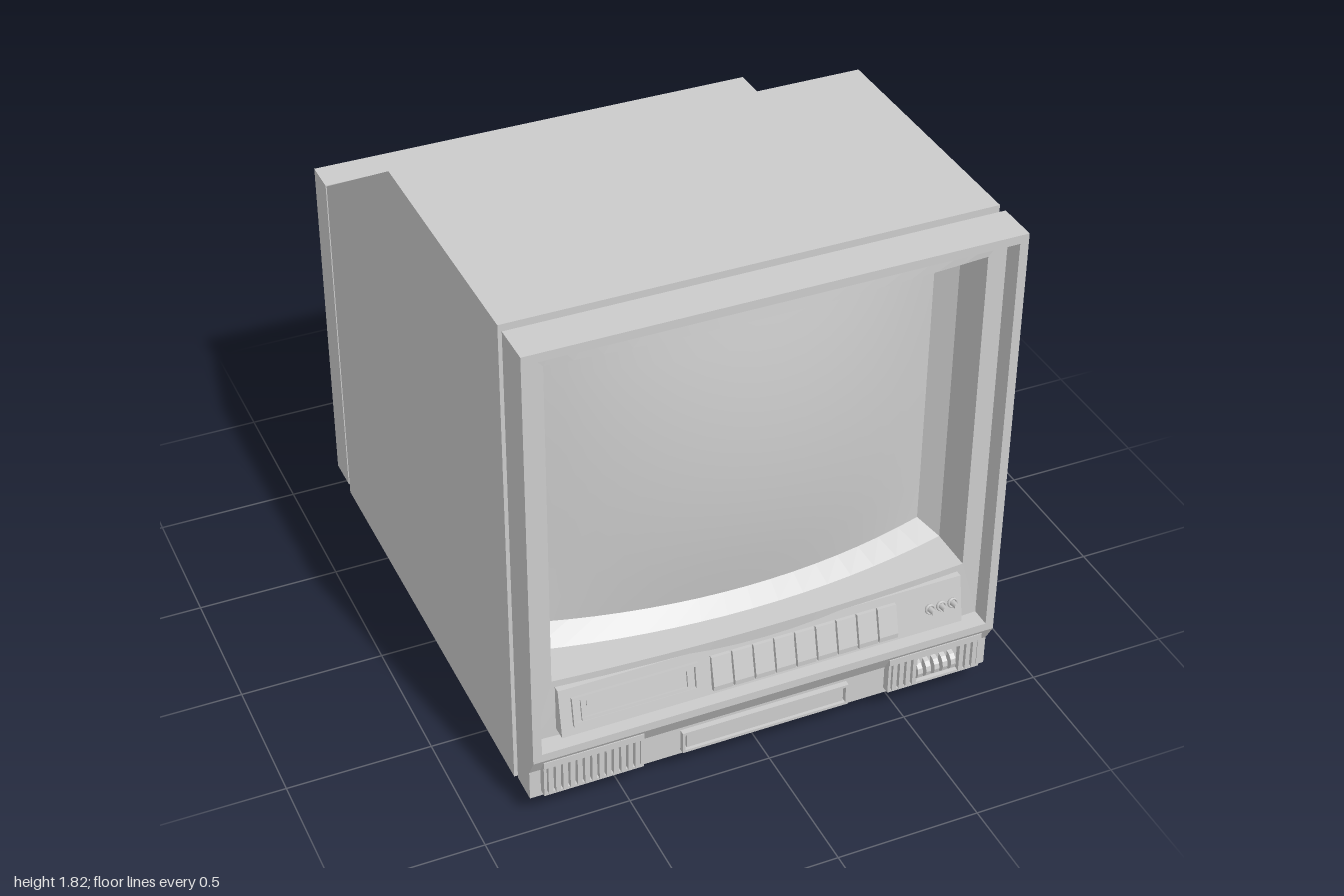
import * as THREE from 'three';

const mat = new THREE.MeshStandardMaterial({ color: 0xcccccc, flatShading: true });
const smooth = new THREE.MeshStandardMaterial({ color: 0xcccccc });

function add(parent, name, geo, x = 0, y = 0, z = 0, m = mat) {
  const mesh = new THREE.Mesh(geo, m);
  mesh.name = name;
  mesh.position.set(x, y, z);
  parent.add(mesh);
  return mesh;
}

// Box given by its min and max on each axis
function box(parent, name, x0, x1, y0, y1, z0, z1) {
  return add(parent, name, new THREE.BoxGeometry(x1 - x0, y1 - y0, z1 - z0),
    (x0 + x1) / 2, (y0 + y1) / 2, (z0 + z1) / 2);
}

// Side profile of [z, y] points swept across x
function sweep(parent, name, pts, x0, x1) {
  const shape = new THREE.Shape(pts.map(([z, y]) => new THREE.Vector2(-z, y)));
  const geo = new THREE.ExtrudeGeometry(shape, { depth: x1 - x0, bevelEnabled: false });
  return add(parent, name, geo.rotateY(Math.PI / 2), x0);
}

// Rectangular border of the given thickness, extruded from z0 to z1
function border(parent, name, x0, x1, y0, y1, t, z0, z1) {
  const rect = (C, d) => new C([[x0 + d, y0 + d], [x1 - d, y0 + d], [x1 - d, y1 - d], [x0 + d, y1 - d]]
    .map(p => new THREE.Vector2(...p)));
  const shape = rect(THREE.Shape, 0);
  shape.holes.push(rect(THREE.Path, t));
  return add(parent, name, new THREE.ExtrudeGeometry(shape, { depth: z1 - z0, bevelEnabled: false }), 0, 0, z0);
}

// Skin between closed loops with equal point counts
function loft(loops, caps) {
  const n = loops[0].length, idx = [];
  for (let i = 0; i < loops.length - 1; i++) {
    for (let j = 0; j < n; j++) {
      const k = (j + 1) % n, a = i * n + j, b = i * n + k, c = b + n, d = a + n;
      idx.push(a, b, c, a, c, d);
    }
  }
  if (caps) {
    const e = (loops.length - 1) * n;
    for (let j = 1; j < n - 1; j++) idx.push(0, j + 1, j, e, e + j, e + j + 1);
  }
  const geo = new THREE.BufferGeometry();
  geo.setAttribute('position', new THREE.Float32BufferAttribute(loops.flat(2), 3));
  geo.setIndex(idx);
  const flat = geo.toNonIndexed();
  flat.computeVertexNormals();
  return flat;
}

// Rectangle loop whose horizontal edges bulge forward in the middle
function bulgedLoop(w, y0, y1, z, bulge, n = 16) {
  const corners = [[-w, y0], [w, y0], [w, y1], [-w, y1]], pts = [];
  corners.forEach(([ax, ay], s) => {
    const [bx, by] = corners[(s + 1) % 4];
    for (let i = 0; i < n; i++) {
      const x = ax + (bx - ax) * i / n, y = ay + (by - ay) * i / n;
      pts.push([x, y, z + bulge * (1 - (x / w) ** 2)]);
    }
  });
  return pts;
}

function buildScreen(parent) {
  add(parent, 'screenBezel', loft([
    bulgedLoop(0.795, 0.30, 1.79, 0.92, 0.02),
    bulgedLoop(0.73, 0.525, 1.72, 0.92, 0.03),
    bulgedLoop(0.73, 0.525, 1.72, 0.76, 0.09),
    bulgedLoop(0.675, 0.58, 1.67, 0.70, 0.10),
  ]));
  const glass = new THREE.PlaneGeometry(1.35, 1.09, 16, 8);
  const p = glass.attributes.position;
  for (let i = 0; i < p.count; i++) {
    const u = 1 - (p.getX(i) / 0.675) ** 2, v = 1 - (p.getY(i) / 0.545) ** 2;
    p.setZ(i, 0.1 * u + 0.05 * u * v);
  }
  glass.computeVertexNormals();
  add(parent, 'screenGlass', glass, 0, 1.125, 0.70, smooth);
}

function buildControls(parent) {
  sweep(parent, 'controlPanel', [[0.88, 0.33], [0.975, 0.33], [0.945, 0.5], [0.88, 0.5]], -0.72, 0.71);
  // Everything below lies on the tilted panel face
  const face = new THREE.Group();
  face.name = 'controls';
  face.position.set(0, 0.415, 0.96);
  face.rotation.x = -Math.atan2(0.03, 0.17);
  parent.add(face);
  border(face, 'hatchFrame', -0.68, -0.245, -0.052, 0.052, 0.012, -0.01, 0.012);
  border(face, 'hatchRim', -0.65, -0.275, -0.04, 0.04, 0.01, -0.01, 0.008);
  box(face, 'hatchHandle', -0.63, -0.3, 0.01, 0.03, -0.01, 0.006);
  for (let i = 0; i < 9; i++) {
    const x = -0.2 + i * 0.0745;
    const key = sweep(face, 'button', [[-0.01, -0.068], [0.016, -0.068], [0.02, -0.05], [0.012, 0.055], [-0.01, 0.058]], x, x + 0.068);
    key.position.y = 0;
  }
  for (const x of [0.592, 0.634, 0.676]) {
    const ring = add(face, 'knobRing', new THREE.TorusGeometry(0.015, 0.004, 8, 20), x, -0.005, 0.004, smooth);
    ring.scale.z = 1.5;
    const knob = add(face, 'knob', new THREE.CylinderGeometry(0.009, 0.011, 0.04, 16), x, -0.005, 0.015, smooth);
    knob.rotation.x = Math.PI / 2;
  }
}

function buildLowerFront(parent) {
  sweep(parent, 'lowerFront', [[0.845, 0.09], [0.95, 0.09], [0.95, 0.2], [0.99, 0.27], [0.99, 0.3], [0.845, 0.3]], -0.825, 0.825);
  for (const s of [-1, 1]) {
    const x0 = s < 0 ? -0.787 : 0.442, x1 = x0 + 0.345;
    const grille = new THREE.Group();
    grille.name = s < 0 ? 'rightGrille' : 'leftGrille';
    parent.add(grille);
    box(grille, 'grilleBack', x0, x1, 0.115, 0.255, 0.94, 0.965);
    border(grille, 'grilleFrame', x0, x1, 0.112, 0.258, 0.01, 0.94, 0.98);
    box(grille, 'grilleTop', x0, x1, 0.23, 0.255, 0.94, 0.985);
    for (let i = 0; i < 13; i++) {
      const x = x0 + 0.022 + i * 0.025;
      if (s > 0 && i > 3 && i < 10) continue;
      box(grille, 'grilleSlat', x - 0.008, x + 0.008, 0.12, 0.235, 0.95, 0.985);
    }
  }
  // Thumbwheels inside the left grille
  for (let i = 0; i < 5; i++) {
    const wheel = add(parent, 'thumbwheel', new THREE.CylinderGeometry(0.036, 0.036, 0.018, 12), 0.553 + i * 0.031, 0.172, 0.964);
    wheel.rotation.z = Math.PI / 2;
  }
  border(parent, 'flapFrame', -0.3, 0.3, 0.107, 0.19, 0.01, 0.94, 0.97);
  box(parent, 'flap', -0.283, 0.283, 0.122, 0.18, 0.94, 0.964);
}

function buildBack(parent) {
  box(parent, 'backNeck', -0.8, 0.8, 0.09, 1.345, -0.88, -0.84);
  // Back panel with a recess that tapers out at both ends
  const stations = [[-0.82, 0], [-0.74, 0], [-0.35, 0.09], [0.35, 0.09], [0.74, 0], [0.82, 0]];
  add(parent, 'backPanel', loft(stations.map(([x, d]) => [
    [x, 0.08, -0.875], [x, 0.08, -1], [x, 0.14, -1], [x, 0.14 + d * 0.65, -1 + d],
    [x, 0.405, -1 + d], [x, 0.405, -1], [x, 1.36, -1], [x, 1.36, -0.875],
  ]), true));

  // Label plate on the sloping end of the recess
  const plate = new THREE.Group();
  plate.name = 'recessPlate';
  plate.position.set(0.55, 0.3, -0.956);
  plate.rotation.y = Math.PI + Math.atan2(0.09, 0.39);
  parent.add(plate);
  border(plate, 'plateRim', -0.15, 0.15, -0.075, 0.075, 0.015, -0.005, 0.008);

  // Sockets
  for (let c = 0; c < 2; c++) {
    for (let r = 0; r < 3; r++) {
      const jack = add(parent, 'jack', new THREE.CylinderGeometry(0.013, 0.013, 0.03, 14), 0.24 - c * 0.045, 0.375 - r * 0.037, -0.915, smooth);
      jack.rotation.x = Math.PI / 2;
    }
  }
  for (let i = 0; i < 4; i++) {
    const x = 0.05 - i * 0.085;
    border(parent, 'socket', x - 0.034, x + 0.034, 0.315, 0.375, 0.012, -0.93, -0.905);
  }
  // Oblong connector with a raised rim
  const connector = add(parent, 'connectorRim', new THREE.TorusGeometry(0.04, 0.01, 8, 24), -0.02, 0.255, -0.915, smooth);
  connector.scale.x = 4;
  box(parent, 'connectorCore', -0.12, 0.08, 0.242, 0.268, -0.93, -0.905);
}

export function createModel() {
  const model = new THREE.Group();
  model.name = 'monitor';

  // Main casing with the sloping rear top
  sweep(model, 'casing', [[0.81, 0.065], [0.81, 1.82], [-0.135, 1.82], [-0.845, 1.375], [-0.845, 0.065]], -0.825, 0.825);

  // Front neck and frame; the casing front is kept behind the glass
  border(model, 'frontNeck', -0.77, 0.77, 0.1, 1.76, 0.03, 0.8, 0.85);
  border(model, 'frontCollar', -0.79, 0.79, 0.11, 1.76, 0.03, 0.83, 0.85);
  border(model, 'frontFrame', -0.825, 0.825, 0.27, 1.82, 0.03, 0.845, 0.99);
  const hollow = model.getObjectByName('casing');
  hollow.geometry.dispose();
  model.remove(hollow);
  sweep(model, 'casing', [[0.66, 0.065], [0.66, 1.82], [-0.135, 1.82], [-0.845, 1.375], [-0.845, 0.065]], -0.825, 0.825);
  border(model, 'casingRim', -0.825, 0.825, 0.065, 1.82, 0.08, 0.66, 0.81);

  buildScreen(model);
  buildControls(model);
  buildLowerFront(model);
  buildBack(model);

  // Feet
  const profile = [[0, 0], [0.054, 0], [0.06, 0.008], [0.06, 0.02], [0.065, 0.024], [0.065, 0.07]]
    .map(p => new THREE.Vector2(...p));
  for (const x of [-0.665, 0.665]) {
    for (const z of [0.65, -0.68]) add(model, 'foot', new THREE.LatheGeometry(profile, 24), x, 0, z);
  }
  return model;
}
